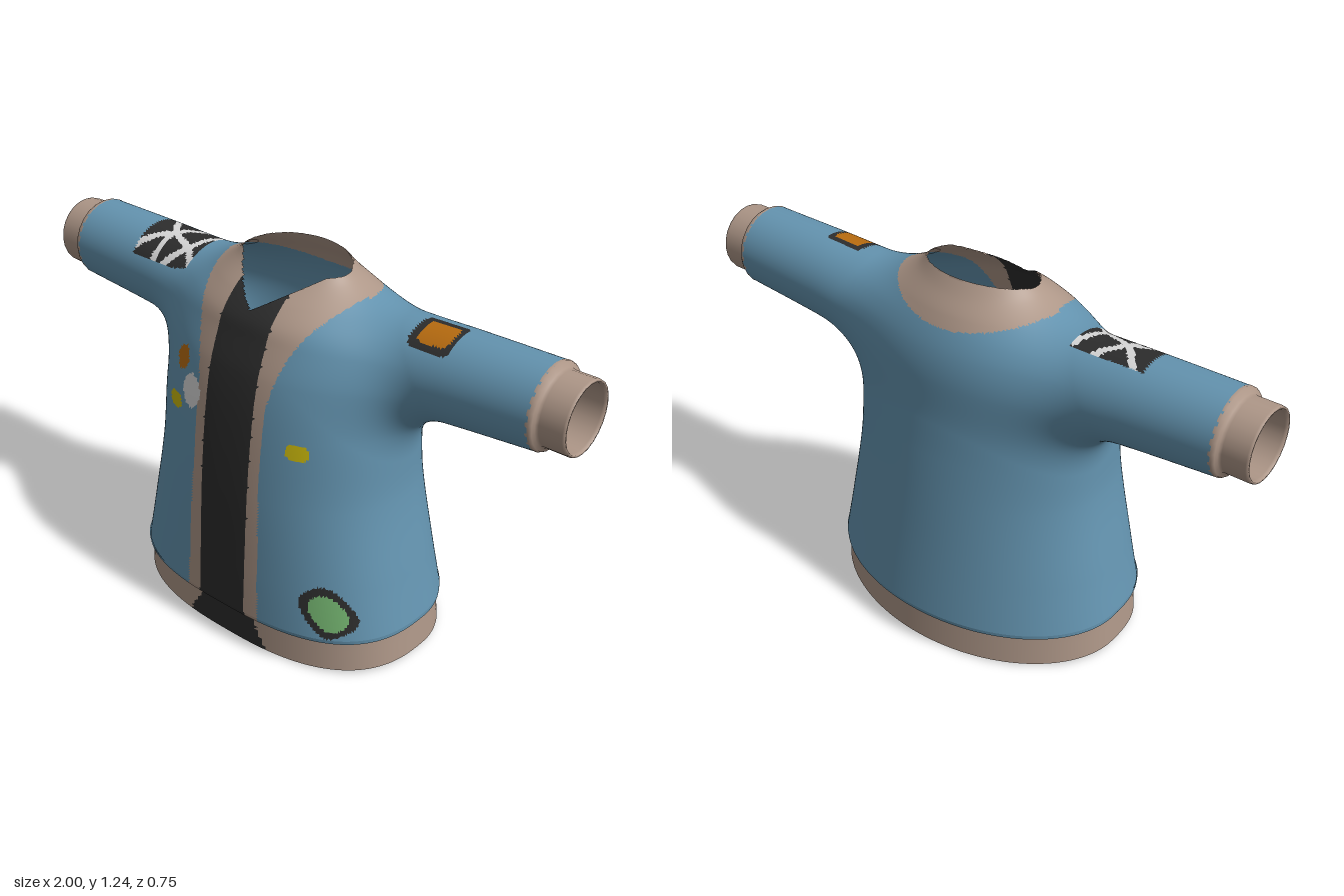
import * as THREE from 'three';

const mat = (name, color) => {
  const m = new THREE.MeshStandardMaterial({ color, side: THREE.DoubleSide });
  m.name = name;
  return m;
};
const MATS = [
  mat('blueCloth', 0x6494b0), mat('tanTrim', 0xae9788), mat('darkPanel', 0x2d2d2d), mat('whitePatch', 0xd8d8d8),
  mat('yellowSpot', 0xcab80c), mat('orangePatch', 0xb86c10), mat('greenPatch', 0x74b470),
];
const [BLUE, TAN, DARK, WHITE, YELLOW, ORANGE, GREEN] = MATS.keys();

// Smooth curve through [t, value] pairs, flat beyond the ends
function curve(p) {
  const n = p.length - 1;
  const slope = p.map((_, i) => {
    const a = p[Math.max(i - 1, 0)], b = p[Math.min(i + 1, n)];
    return (b[1] - a[1]) / (b[0] - a[0]);
  });
  return (t) => {
    if (t <= p[0][0]) return p[0][1];
    if (t >= p[n][0]) return p[n][1];
    let i = 0;
    while (t > p[i + 1][0]) i++;
    const h = p[i + 1][0] - p[i][0], s = (t - p[i][0]) / h, s2 = s * s, s3 = s2 * s;
    return (2 * s3 - 3 * s2 + 1) * p[i][1] + (s3 - 2 * s2 + s) * h * slope[i]
      + (3 * s2 - 2 * s3) * p[i + 1][1] + (s3 - s2) * h * slope[i + 1];
  };
}

// Torso half-width, front depth and back depth by height
const halfWidth = curve([[0.12, 0.54], [0.3, 0.503], [0.57, 0.455], [0.8, 0.445], [0.95, 0.42], [1.05, 0.36],
  [1.1, 0.31], [1.15, 0.245], [1.2, 0.195], [1.24, 0.172]]);
const frontDepth = curve([[0.12, 0.376], [0.3, 0.366], [0.57, 0.347], [0.8, 0.32], [0.95, 0.29], [1.05, 0.253],
  [1.1, 0.23], [1.15, 0.183], [1.2, 0.118], [1.24, 0.08]]);
const backDepth = curve([[0.12, 0.376], [0.4, 0.335], [0.7, 0.295], [0.95, 0.263], [1.05, 0.236], [1.15, 0.185],
  [1.2, 0.15], [1.24, 0.126]]);
const frontPower = (y) => 2.7 - 0.5 * Math.min(y / 1.2, 1);

// Sleeve centre height and radius along x
const sleeveY = curve([[0.2, 1.0], [0.45, 1.0], [0.6, 1.012], [0.9, 1.027]]);
const sleeveR = curve([[0.2, 0.15], [0.45, 0.15], [0.6, 0.143], [0.9, 0.133]]);
const SLEEVE_Z = -0.033;

// Signed distance to torso and sleeves, softly joined at the armholes
function field(x, y, z) {
  const depth = z > 0 ? frontDepth(y) : backDepth(y), n = z > 0 ? frontPower(y) : 2;
  const len = Math.hypot(x, z);
  const q = (Math.abs(x / halfWidth(y)) ** n + Math.abs(z / depth) ** n) ** (1 / n);
  const torso = q < 1e-6 ? -depth : len - len / q;
  const ax = Math.abs(x);
  const sleeve = Math.hypot(y - sleeveY(ax), z - SLEEVE_Z) - sleeveR(ax);
  const k = 0.16, h = Math.max(k - Math.abs(torso - sleeve), 0) / k;
  return Math.min(torso, sleeve) - h * h * k / 4;
}
function gradient(x, y, z, e = 0.002) {
  return new THREE.Vector3(field(x + e, y, z) - field(x - e, y, z), field(x, y + e, z) - field(x, y - e, z),
    field(x, y, z + e) - field(x, y, z - e)).divideScalar(2 * e);
}

// Height of the neck opening: a V at the front, rising to the back
const neckCut = (x, z) => (z > 0 ? Math.min(1.22, 1.12 + 0.6 * Math.abs(x)) : 1.22 - 0.15 * z);

// Rounded patch test: rotated superellipse
function inPatch(u, v, [cu, cv, ru, rv, angle = 0, n = 2.5]) {
  const c = Math.cos(angle), s = Math.sin(angle), du = u - cu, dv = v - cv;
  return Math.abs((du * c + dv * s) / ru) ** n + Math.abs((dv * c - du * s) / rv) ** n < 1;
}
const FRONT_PATCHES = [
  [ORANGE, [-0.23, 0.91, 0.032, 0.042, -0.3, 1.6]], [WHITE, [-0.17, 0.825, 0.044, 0.056, 0, 1.8]],
  [YELLOW, [-0.255, 0.76, 0.036, 0.026]], [YELLOW, [0.25, 0.76, 0.036, 0.026]],
  [GREEN, [0.379, 0.228, 0.068, 0.044, -0.95, 2.4]], [DARK, [0.375, 0.23, 0.092, 0.062, -0.95, 3]],
];
const SLEEVE_PATCHES = [
  [ORANGE, [0.537, 0.008, 0.053, 0.044, 0, 6]], [DARK, [0.533, 0.007, 0.073, 0.064, 0, 6]],
];
// White bands on the right sleeve patch, as x,z segments
const BANDS = [[-0.63, 0.07, -0.53, -0.01], [-0.53, -0.01, -0.6, -0.1], [-0.53, -0.01, -0.43, 0.03],
  [-0.43, 0.03, -0.38, 0.08], [-0.43, 0.03, -0.39, -0.08], [-0.53, -0.01, -0.46, -0.1], [-0.43, 0.03, -0.5, 0.1],
  [-0.53, -0.01, -0.54, 0.1]];
function onBand(x, z) {
  return BANDS.some(([a, b, c, d]) => {
    const t = THREE.MathUtils.clamp(((x - a) * (c - a) + (z - b) * (d - b)) / ((c - a) ** 2 + (d - b) ** 2), 0, 1);
    return Math.hypot(x - a - t * (c - a), z - b - t * (d - b)) < 0.011;
  });
}

// Colour of the cloth at a point
const trimWidth = curve([[0.12, 0.152], [0.5, 0.14], [0.8, 0.132], [0.9, 0.14], [1.0, 0.165], [1.1, 0.21], [1.18, 0.28]]);
function clothColour(x, y, z) {
  const ax = Math.abs(x);
  if (z > 0 && ax < 0.098) return DARK;
  if (z > 0) for (const [c, p] of FRONT_PATCHES) if (inPatch(x, y, p)) return c;
  if (z > 0 && ax < trimWidth(y)) return TAN;
  if (z <= 0 && y > 1 && (x / 0.285) ** 2 + (z / 0.222) ** 2 < 1) return TAN;
  if (y > 1.03) {
    for (const [c, p] of SLEEVE_PATCHES) if (inPatch(x, z, p)) return c;
    if (x > -0.63 && x < -0.385 && z > -0.095 && z < 0.092) return onBand(x, z) ? WHITE : DARK;
  }
  return BLUE;
}
const hemColour = (x, y, z) => (z > 0 && Math.abs(x) < 0.1 + 0.07 * (1 - y / 0.12) ? DARK : TAN);

// Geometry whose triangles are grouped by colour
function paintedMesh(name, pos, tris, colour, normals) {
  const lists = MATS.map(() => []);
  for (const t of tris) {
    const c = [0, 1, 2].map((a) => (pos[t[0] * 3 + a] + pos[t[1] * 3 + a] + pos[t[2] * 3 + a]) / 3);
    lists[colour(...c)].push(...t);
  }
  const g = new THREE.BufferGeometry();
  g.setAttribute('position', new THREE.Float32BufferAttribute(pos, 3));
  g.setIndex(lists.flat());
  let start = 0;
  lists.forEach((l, i) => { if (l.length) g.addGroup(start, l.length, i); start += l.length; });
  if (normals) g.setAttribute('normal', new THREE.Float32BufferAttribute(normals, 3));
  else g.computeVertexNormals();
  const m = new THREE.Mesh(g, MATS);
  m.name = name;
  return m;
}

// Jacket shell: a net of quads laid over the zero surface of the field
function shell() {
  const S = 0.01, O = [-0.9, 0.13, -0.41], N = [180, 114, 82];
  const at = (i, j, k) => (i * (N[1] + 1) + j) * (N[2] + 1) + k;
  const F = new Float32Array((N[0] + 1) * (N[1] + 1) * (N[2] + 1));
  const each = (fn, extra) => {
    for (let i = 0; i < N[0] + extra; i++) for (let j = 0; j < N[1] + extra; j++) for (let k = 0; k < N[2] + extra; k++) fn(i, j, k);
  };
  each((i, j, k) => { F[at(i, j, k)] = field(O[0] + i * S, O[1] + j * S, O[2] + k * S); }, 1);
  const ids = new Int32Array(F.length).fill(-1), pos = [], normals = [], cut = [], tris = [];
  each((i, j, k) => {
    let inside = 0;
    for (let c = 0; c < 8; c++) if (F[at(i + (c & 1), j + ((c >> 1) & 1), k + (c >> 2))] < 0) inside++;
    if (inside === 0 || inside === 8) return;
    const p = new THREE.Vector3(O[0] + (i + 0.5) * S, O[1] + (j + 0.5) * S, O[2] + (k + 0.5) * S);
    for (let s = 0; s < 3; s++) {
      const g = gradient(p.x, p.y, p.z);
      p.addScaledVector(g, -field(p.x, p.y, p.z) / g.lengthSq());
    }
    const n = gradient(p.x, p.y, p.z).normalize(), top = neckCut(p.x, p.z);
    ids[at(i, j, k)] = cut.length;
    cut.push(p.y > top);
    pos.push(p.x, Math.min(p.y, top), p.z);
    normals.push(n.x, n.y, n.z);
  }, 0);
  const vec = (a, v) => new THREE.Vector3().fromArray(a, v * 3);
  each((i, j, k) => {
    for (let axis = 0; axis < 3; axis++) {
      const d = [0, 0, 0], u = [0, 0, 0], v = [0, 0, 0];
      d[axis] = u[(axis + 1) % 3] = v[(axis + 2) % 3] = 1;
      if ((F[at(i, j, k)] < 0) === (F[at(i + d[0], j + d[1], k + d[2])] < 0)) continue;
      const cell = (a, b) => {
        const c = [i - a * u[0] - b * v[0], j - a * u[1] - b * v[1], k - a * u[2] - b * v[2]];
        return Math.min(...c) < 0 ? -1 : ids[at(...c)];
      };
      let q = [cell(0, 0), cell(1, 0), cell(1, 1), cell(0, 1)];
      if (q.some((c) => c < 0) || q.every((c) => cut[c])) continue;
      const face = vec(pos, q[2]).sub(vec(pos, q[0])).cross(vec(pos, q[3]).sub(vec(pos, q[1])));
      if (face.dot(vec(normals, q[0])) < 0) q = q.reverse();
      tris.push([q[0], q[1], q[2]], [q[0], q[2], q[3]]);
    }
  }, 0);
  return paintedMesh('jacketShell', pos, tris, clothColour, normals);
}

// Closed rings from one [y, halfWidth, front, back] row to the next
function loft(name, from, to, colour, steps = 1) {
  const SEG = 240, pos = [], tris = [];
  for (let r = 0; r <= steps; r++) {
    const [y, a, f, b] = from.map((v, i) => v + (to[i] - v) * r / steps);
    for (let s = 0; s < SEG; s++) {
      const c = Math.cos(s / SEG * 2 * Math.PI), w = Math.sin(s / SEG * 2 * Math.PI), e = w > 0 ? 2 / frontPower(0) : 1;
      const x = a * Math.sign(c) * Math.abs(c) ** e;
      pos.push(x, y + 0.015 * (x / 0.54) ** 2 * (y < 0.1 ? 1 - y / 0.1 : 0), (w > 0 ? f : b) * Math.sign(w) * Math.abs(w) ** e);
      const p = r * SEG + s, q = r * SEG + (s + 1) % SEG;
      if (r < steps) tris.push([p, p + SEG, q], [q, p + SEG, q + SEG]);
    }
  }
  return paintedMesh(name, pos, tris, colour);
}

export function createModel() {
  const model = new THREE.Group();
  model.name = 'jacket';
  model.add(shell());

  // Rolled lower edge and hem band
  const edge = [0.139, 0.537, 0.376, 0.375], roll = [0.125, 0.537, 0.373, 0.373], tuck = [0.118, 0.527, 0.348, 0.348];
  const top = [0.13, 0.529, 0.348, 0.347], base = [0.003, 0.539, 0.355, 0.358];
  const baseIn = [0.003, 0.52, 0.336, 0.339], topIn = [0.13, 0.512, 0.331, 0.33];
  model.add(
    loft('lowerEdgeTuck', tuck, roll, clothColour), loft('lowerEdge', roll, edge, clothColour),
    loft('hemInside', topIn, baseIn, hemColour, 10), loft('hemBottom', baseIn, base, hemColour),
    loft('hemBand', base, top, hemColour, 10),
  );

  // Cuffs
  const profile = [[0.134, 0.888], [0.134, 0.898], [0.129, 0.907], [0.117, 0.91], [0.114, 0.92], [0.114, 0.992],
    [0.112, 1.0], [0.106, 1.0], [0.103, 0.99], [0.103, 0.89]].map(([r, h]) => new THREE.Vector2(r, h));
  for (const side of [1, -1]) {
    const cuff = new THREE.Mesh(new THREE.LatheGeometry(profile, 24), MATS[TAN]);
    cuff.name = side > 0 ? 'leftCuff' : 'rightCuff';
    cuff.rotation.z = -side * Math.PI / 2;
    cuff.position.set(0, 1.027, SLEEVE_Z);
    model.add(cuff);
  }
  return model;
}
